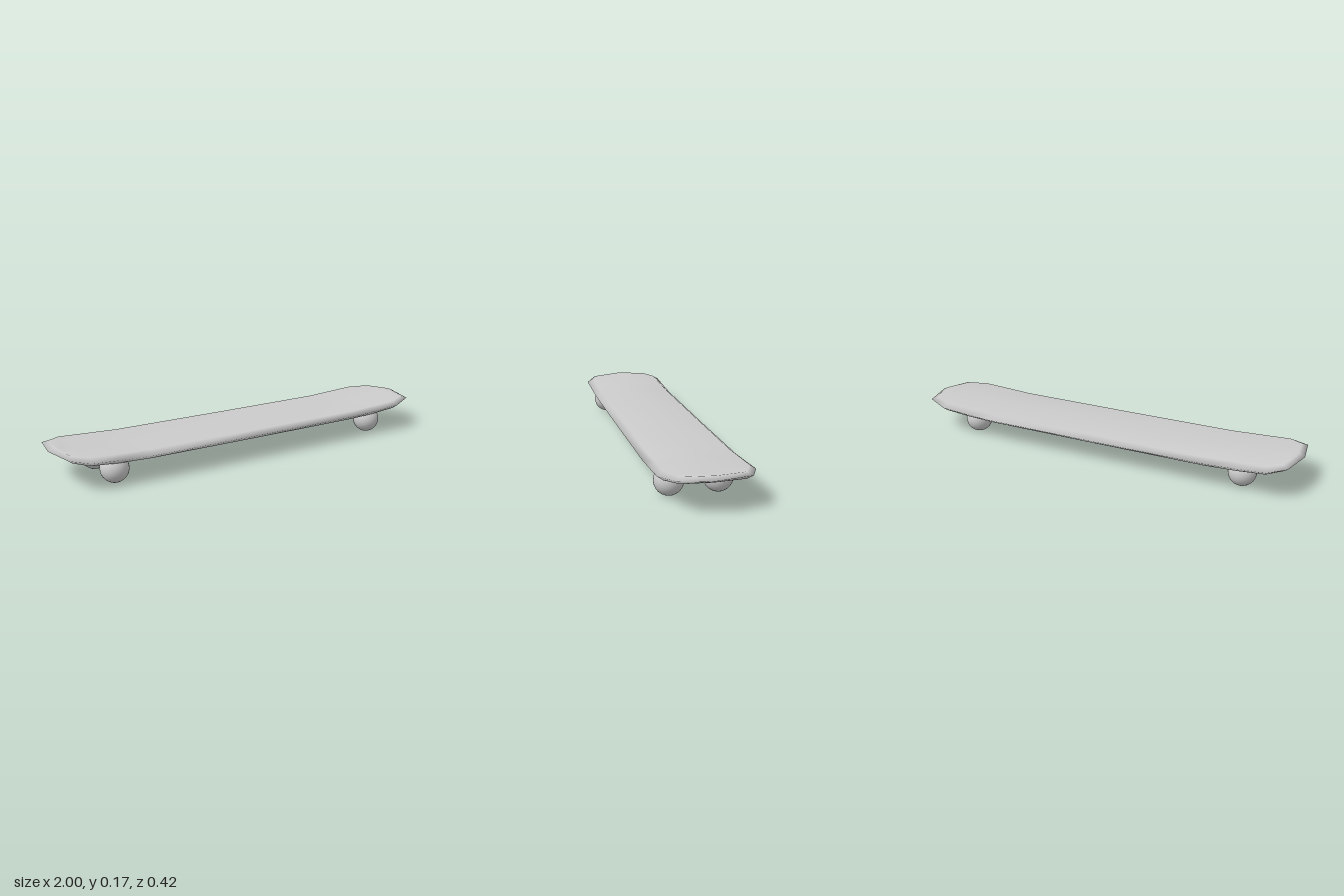
import * as THREE from 'three';
import { mergeVertices } from 'three/addons/utils/BufferGeometryUtils.js';

const material = new THREE.MeshStandardMaterial({ color: 0xcccccc });

// Deck stations along x:
// rim x, rim half width, rim y, inner x, inner half width, top y, bottom y
const stations = [
  [-1, 0, 0.152, -0.972, 0, 0.165, 0.138],
  [-0.97, 0.158, 0.148, -0.945, 0.138, 0.158, 0.128],
  [-0.89, 0.21, 0.135, -0.88, 0.182, 0.153, 0.116],
  [-0.75, 0.21, 0.126, -0.75, 0.182, 0.147, 0.105],
  [-0.59, 0.21, 0.118, -0.59, 0.182, 0.14, 0.099],
  [0, 0.21, 0.117, 0, 0.182, 0.139, 0.098],
  [0.57, 0.21, 0.118, 0.57, 0.182, 0.14, 0.099],
  [0.71, 0.21, 0.126, 0.71, 0.182, 0.147, 0.105],
  [0.845, 0.21, 0.135, 0.84, 0.182, 0.153, 0.115],
  [0.96, 0.158, 0.148, 0.935, 0.138, 0.158, 0.128],
  [1, 0, 0.152, 0.972, 0, 0.165, 0.138],
];

// Closed cross-section, from the +z rim over the top and back underneath
function section([rx, rw, ry, ix, iw, top, bottom]) {
  const sag = iw > 0 ? 0.005 : 0;
  return [
    [rx, ry, rw], [ix, top, iw], [ix, top, 0], [ix, top, -iw],
    [rx, ry, -rw], [ix, bottom, -iw], [ix, bottom - sag, 0], [ix, bottom, iw],
  ];
}

function deckGeometry() {
  const rings = stations.map(section);
  const n = rings[0].length;
  const positions = [];
  const a = new THREE.Vector3(), b = new THREE.Vector3(), c = new THREE.Vector3();
  // Skip the triangles that collapse at the two tips
  const face = (p, q, r) => {
    a.set(...p); b.set(...q); c.set(...r);
    if (b.sub(a).cross(c.sub(a)).length() > 1e-7) positions.push(...p, ...q, ...r);
  };
  for (let i = 0; i < rings.length - 1; i++) {
    for (let j = 0; j < n; j++) {
      const k = (j + 1) % n;
      face(rings[i][j], rings[i + 1][j], rings[i + 1][k]);
      face(rings[i][j], rings[i + 1][k], rings[i][k]);
    }
  }
  let geometry = new THREE.BufferGeometry();
  geometry.setAttribute('position', new THREE.Float32BufferAttribute(positions, 3));
  geometry = mergeVertices(geometry);
  geometry.computeVertexNormals();
  return geometry;
}

export function createModel() {
  const model = new THREE.Group();
  model.name = 'skateboard';

  const deck = new THREE.Mesh(deckGeometry(), material);
  deck.name = 'deck';
  model.add(deck);

  // Ball wheels tucked into the underside
  const radius = 0.066;
  const ball = new THREE.SphereGeometry(radius, 32, 16);
  for (const [end, x] of [['right', -0.745], ['left', 0.705]]) {
    for (const [side, z] of [['Front', 0.126], ['Back', -0.091]]) {
      const wheel = new THREE.Mesh(ball, material);
      wheel.name = `${end}${side}Wheel`;
      wheel.position.set(x, radius, z);
      model.add(wheel);
    }
  }
  return model;
}
